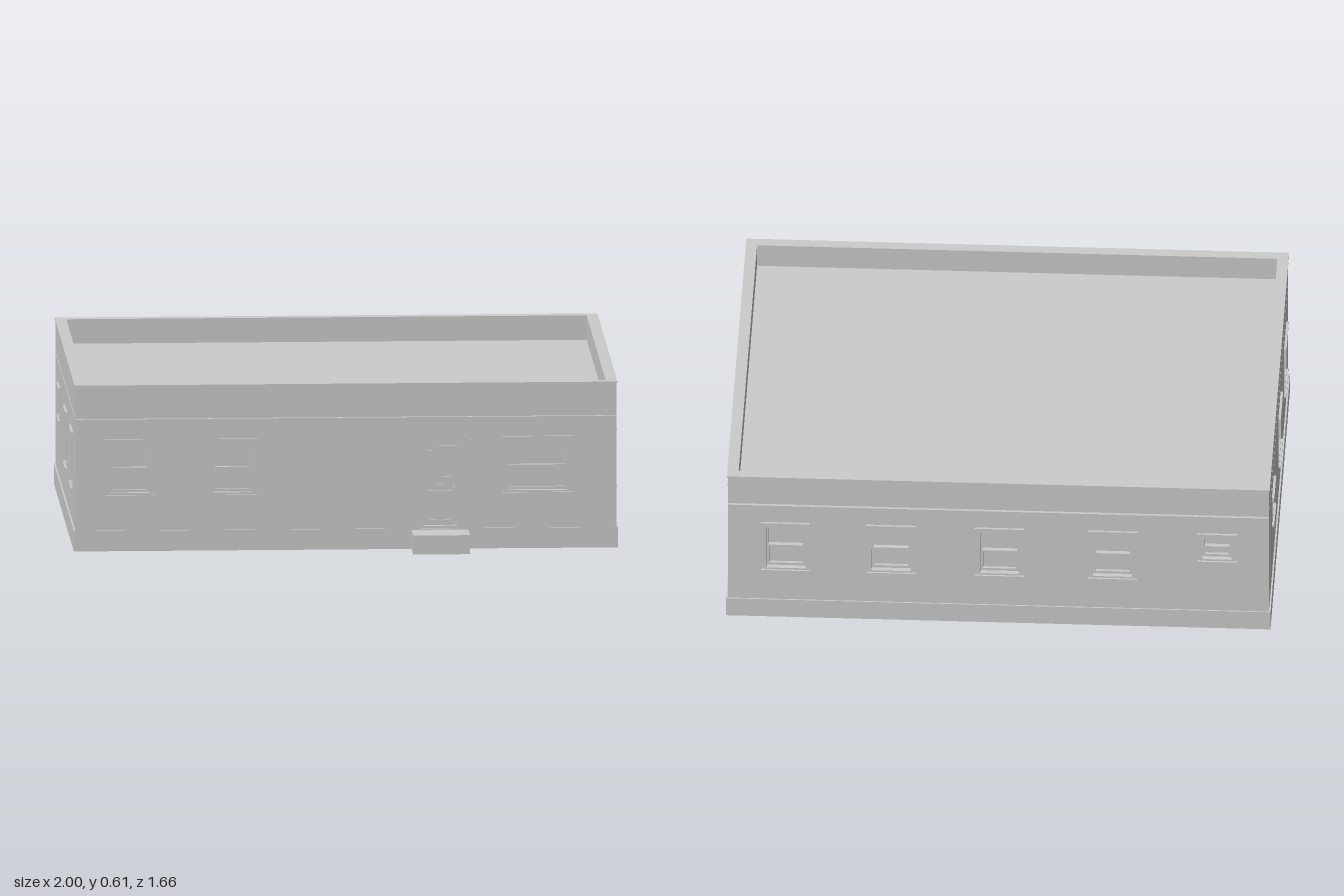
import * as THREE from 'three';

const mat = new THREE.MeshStandardMaterial({ color: 0xcccccc, flatShading: true });

// Outer wall planes and heights
const X0 = -0.989, X1 = 0.979, Z0 = -0.823, Z1 = 0.7;
const T = 0.038, BASE = 0.075, GROOVE = 0.484, BAND = 0.491, TOP = 0.61, ROOF = 0.52;
const CX = (X0 + X1) / 2, CZ = (Z0 + Z1) / 2;

function add(parent, name, geometry) {
  const mesh = new THREE.Mesh(geometry, mat);
  mesh.name = name;
  parent.add(mesh);
  return mesh;
}

// Box given by its two corners
function block(parent, name, x0, x1, y0, y1, z0, z1) {
  const mesh = add(parent, name, new THREE.BoxGeometry(x1 - x0, y1 - y0, z1 - z0));
  mesh.position.set((x0 + x1) / 2, (y0 + y1) / 2, (z0 + z1) / 2);
  return mesh;
}

function rect(Type, x0, x1, y0, y1) {
  const p = new Type();
  p.moveTo(x0, y0);
  p.lineTo(x1, y0);
  p.lineTo(x1, y1);
  p.lineTo(x0, y1);
  p.closePath();
  return p;
}

// Rectangular frame of bar width b, from depth z0 to z1
function frame(parent, name, x0, x1, y0, y1, b, z0, z1) {
  const shape = rect(THREE.Shape, x0, x1, y0, y1);
  shape.holes.push(rect(THREE.Path, x0 + b, x1 - b, y0 + b, y1 - b));
  const mesh = add(parent, name, new THREE.ExtrudeGeometry(shape, { depth: z1 - z0, bevelEnabled: false }));
  mesh.position.z = z0;
  return mesh;
}

// Sash window set in a wall; w is the full width of sill and lintel
function addWindow(wall, { u, w, y0 = 0.197 }) {
  const g = new THREE.Group();
  g.name = 'window';
  g.position.x = u;
  wall.add(g);
  const h = w / 2, o = h - 0.011, b = y0 + 0.009, t = 0.396, mid = (b + t) / 2;
  block(g, 'sill', -h, h, y0, b, -0.03, 0.009);
  block(g, 'lintel', -h, h, t, 0.405, -0.03, 0.006);
  block(g, 'lintelCap', -h - 0.002, h + 0.002, 0.405, 0.412, -0.03, 0.009);
  frame(g, 'windowFrame', -o, o, b, t, 0.007, -0.035, 0.002);
  frame(g, 'upperSash', -o + 0.007, o - 0.007, mid - 0.004, t - 0.007, 0.008, -0.03, -0.011);
  frame(g, 'lowerSash', -o + 0.007, o - 0.007, b + 0.007, mid + 0.004, 0.01, -0.035, -0.017);
  block(g, 'glass', -o, o, b, t, -0.036, -0.028);
}

// One wall: u runs to the right seen from outside, z points outward
function addWall(model, name, angle, x, z, u0, u1, windows, door) {
  const g = new THREE.Group();
  g.name = name;
  g.position.set(x, 0, z);
  g.rotation.y = angle;
  model.add(g);

  const shape = rect(THREE.Shape, u0, u1, BASE, GROOVE);
  for (const { u, w, y0 = 0.197 } of windows) {
    const o = w / 2 - 0.011;
    shape.holes.push(rect(THREE.Path, u - o, u + o, y0 + 0.009, 0.396));
  }
  if (door) shape.holes.push(rect(THREE.Path, door.x0, door.x1, door.y0, door.y1));
  const lower = add(g, 'lowerWall', new THREE.ExtrudeGeometry(shape, { depth: T, bevelEnabled: false }));
  lower.position.z = -T;
  block(g, 'groove', u0, u1, GROOVE, BAND, -T, -0.012);
  block(g, 'parapet', u0, u1, BAND, TOP - 0.006, -T, 0);
  windows.forEach((w) => addWindow(g, w));
  return g;
}

// Disc or knob with its axis along local z
function disc(parent, name, r, depth, x, y, z) {
  const mesh = add(parent, name, new THREE.CylinderGeometry(r, r, depth, 16));
  mesh.rotation.x = Math.PI / 2;
  mesh.position.set(x, y, z);
  return mesh;
}

function addDoor(wall, d) {
  const g = new THREE.Group();
  g.name = 'door';
  wall.add(g);
  const cx = (d.x0 + d.x1) / 2;
  frame(g, 'doorFrame', d.x0, d.x1, d.y0, d.y1, 0.007, -T, 0.003);
  block(g, 'doorLeaf', d.x0, d.x1, d.y0, d.y1, -0.032, -0.018);
  frame(g, 'doorGlazing', d.x0 + 0.022, d.x1 - 0.022, 0.255, 0.358, 0.006, -0.02, -0.012);
  for (const s of [-1, 1]) {
    const px = cx + s * 0.024;
    frame(g, 'doorPanel', px - 0.019, px + 0.019, 0.1, 0.21, 0.005, -0.02, -0.013);
  }
  block(g, 'letterSlot', cx - 0.012, cx + 0.012, 0.226, 0.234, -0.02, -0.011);
  disc(g, 'doorKnob', 0.005, 0.022, d.x1 - 0.015, 0.224, -0.008);
}

export function createModel() {
  const model = new THREE.Group();
  model.name = 'building';

  // Plinth and sunken roof
  block(model, 'plinth', X0 - 0.006, X1 + 0.006, 0, BASE, Z0 - 0.005, Z1 + 0.005);
  block(model, 'roof', X0 + T, X1 - T, ROOF - 0.02, ROOF, Z0 + T, Z1 - T);

  // Coping around the parapet
  const coping = rect(THREE.Shape, X0 - 0.003, X1 + 0.003, -Z1 - 0.003, -Z0 + 0.003);
  coping.holes.push(rect(THREE.Path, X0 + T, X1 - T, -Z1 + T, -Z0 - T));
  const cap = add(model, 'coping', new THREE.ExtrudeGeometry(coping, { depth: 0.006, bevelEnabled: false }));
  cap.rotation.x = -Math.PI / 2;
  cap.position.y = TOP - 0.006;

  // Front wall with door, step and lamp
  const door = { x0: 0.269, x1: 0.406, y0: 0.077, y1: 0.38 };
  const front = addWall(model, 'frontWall', 0, 0, Z1, X0, X1,
    [{ u: -0.79, w: 0.178 }, { u: -0.417, w: 0.178 }, { u: 0.692, w: 0.258 }], door);
  addDoor(front, door);
  block(model, 'doorStep', 0.233, 0.44, 0, 0.07, Z1 - 0.01, 0.833);
  block(front, 'lampPlate', 0.442, 0.46, 0.384, 0.406, -0.005, 0.006);
  disc(front, 'lamp', 0.006, 0.008, 0.451, 0.395, 0.006);

  // Back wall
  addWall(model, 'backWall', Math.PI, 0, Z0, -X1, -X0,
    [{ u: 0.8, w: 0.142, y0: 0.284 }, ...[-0.42, -0.01, 0.385, 0.768].map((x) => ({ u: -x, w: 0.178 }))]);

  // Side walls fit between front and back
  const right = addWall(model, 'rightWall', Math.PI / 2, X1, 0, -Z1 + T, -Z0 - T,
    [-0.462, -0.014, 0.51].map((u) => ({ u, w: 0.178 })));
  addWall(model, 'leftWall', -Math.PI / 2, X0, 0, Z0 + T, Z1 - T,
    [{ u: -0.512, w: 0.142, y0: 0.284 }, { u: 0.01, w: 0.178 }, { u: 0.46, w: 0.178 }]);

  // Meter box with conduit on the right wall
  const meter = new THREE.Group();
  meter.name = 'meter';
  meter.position.x = 0.36;
  right.add(meter);
  block(meter, 'meterBox', -0.018, 0.018, 0.23, 0.278, -0.002, 0.012);
  disc(meter, 'meterDial', 0.011, 0.01, 0, 0.26, 0.016);
  const conduit = add(meter, 'conduit', new THREE.CylinderGeometry(0.004, 0.004, 0.208, 10));
  conduit.position.set(0, 0.38, 0.004);

  // End walls of the groove close in at the corners
  for (const x of [X0 + T / 2, X1 - T / 2])
    block(model, 'grooveCore', x - 0.007, x + 0.007, GROOVE, BAND, Z0 + 0.012, Z1 - 0.012);

  return model;
}
